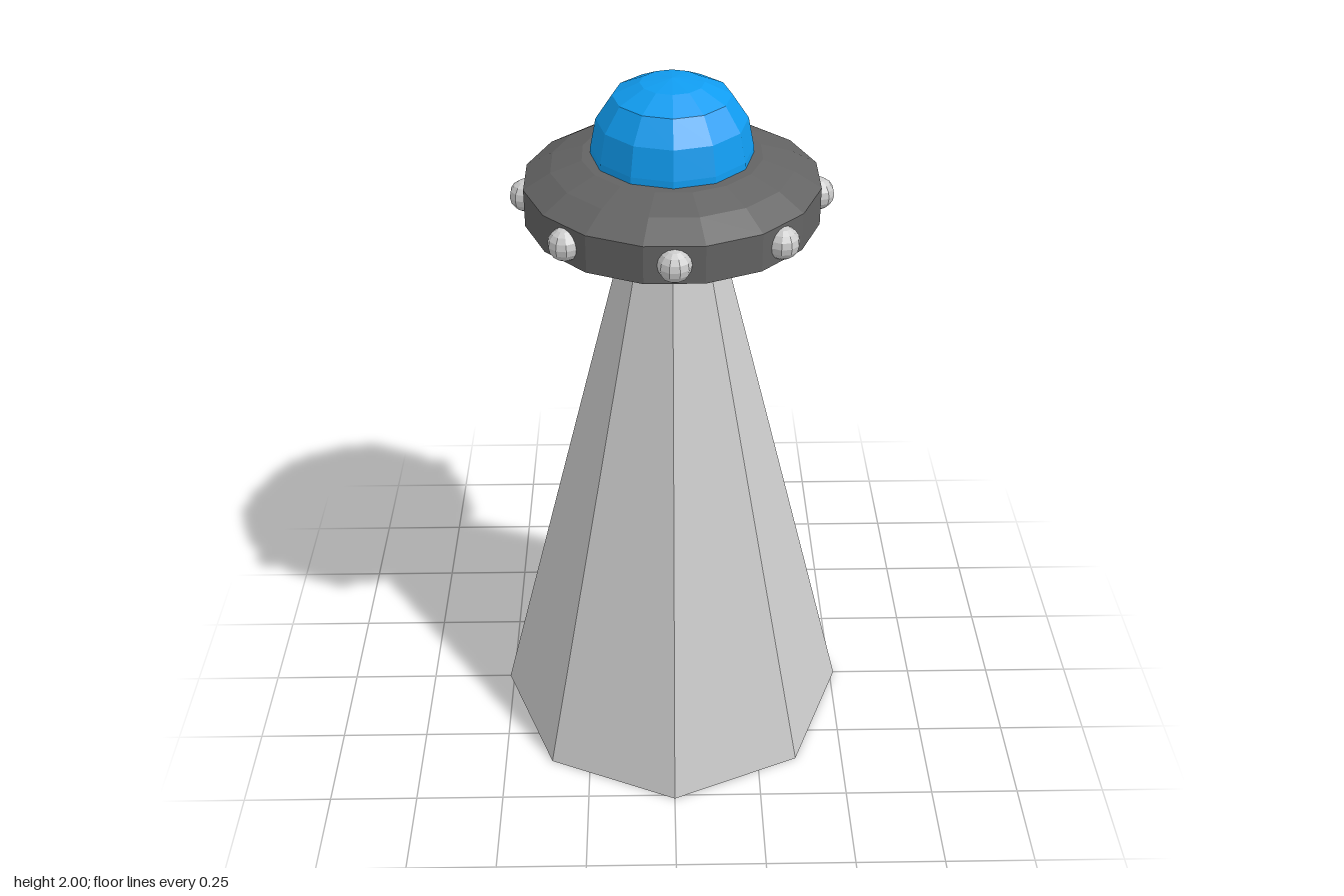
import * as THREE from 'three';

const material = (color) => new THREE.MeshStandardMaterial({ color, flatShading: true });

// Faceted solid of revolution; profile runs from bottom to top as [radius, y]
function turned(name, profile, sides, phiStart, mat) {
  const points = profile.map(([r, y]) => new THREE.Vector2(r, y));
  const mesh = new THREE.Mesh(new THREE.LatheGeometry(points, sides, phiStart), mat);
  mesh.name = name;
  return mesh;
}

export function createModel() {
  const group = new THREE.Group();
  group.name = 'flyingSaucer';
  const grey = material(0xcccccc);
  const hullGrey = material(0x636363);
  const blue = material(0x109cf0);

  // Eight-sided light beam, closed at the ground
  const beamHeight = 1.56;
  const beam = new THREE.Mesh(new THREE.CylinderGeometry(0.128, 0.513, beamHeight, 8), grey);
  beam.name = 'beam';
  beam.position.y = beamHeight / 2;
  group.add(beam);

  // Sixteen-sided hull with a flat rim band
  group.add(turned('hull', [
    [0, 1.546], [0.14, 1.546], [0.26, 1.587], [0.38, 1.637],
    [0.38, 1.737], [0.31, 1.777], [0.23, 1.803], [0, 1.803],
  ], 16, Math.PI / 16, hullGrey));

  // Cockpit dome
  group.add(turned('dome', [
    [0.207, 1.79], [0.205, 1.82], [0.19, 1.895], [0.148, 1.957], [0.08, 1.989], [0, 2],
  ], 12, 0, blue));

  // Eight lamps spaced around the rim
  const lamps = new THREE.Group();
  lamps.name = 'rimLamps';
  const lampGeometry = new THREE.SphereGeometry(0.042, 10, 8);
  for (let i = 0; i < 8; i++) {
    const angle = (i * Math.PI) / 4;
    const lamp = new THREE.Mesh(lampGeometry, grey);
    lamp.name = 'lamp';
    lamp.position.set(Math.sin(angle) * 0.373, 1.687, Math.cos(angle) * 0.373);
    lamp.rotation.y = angle;
    lamps.add(lamp);
  }
  group.add(lamps);

  return group;
}
